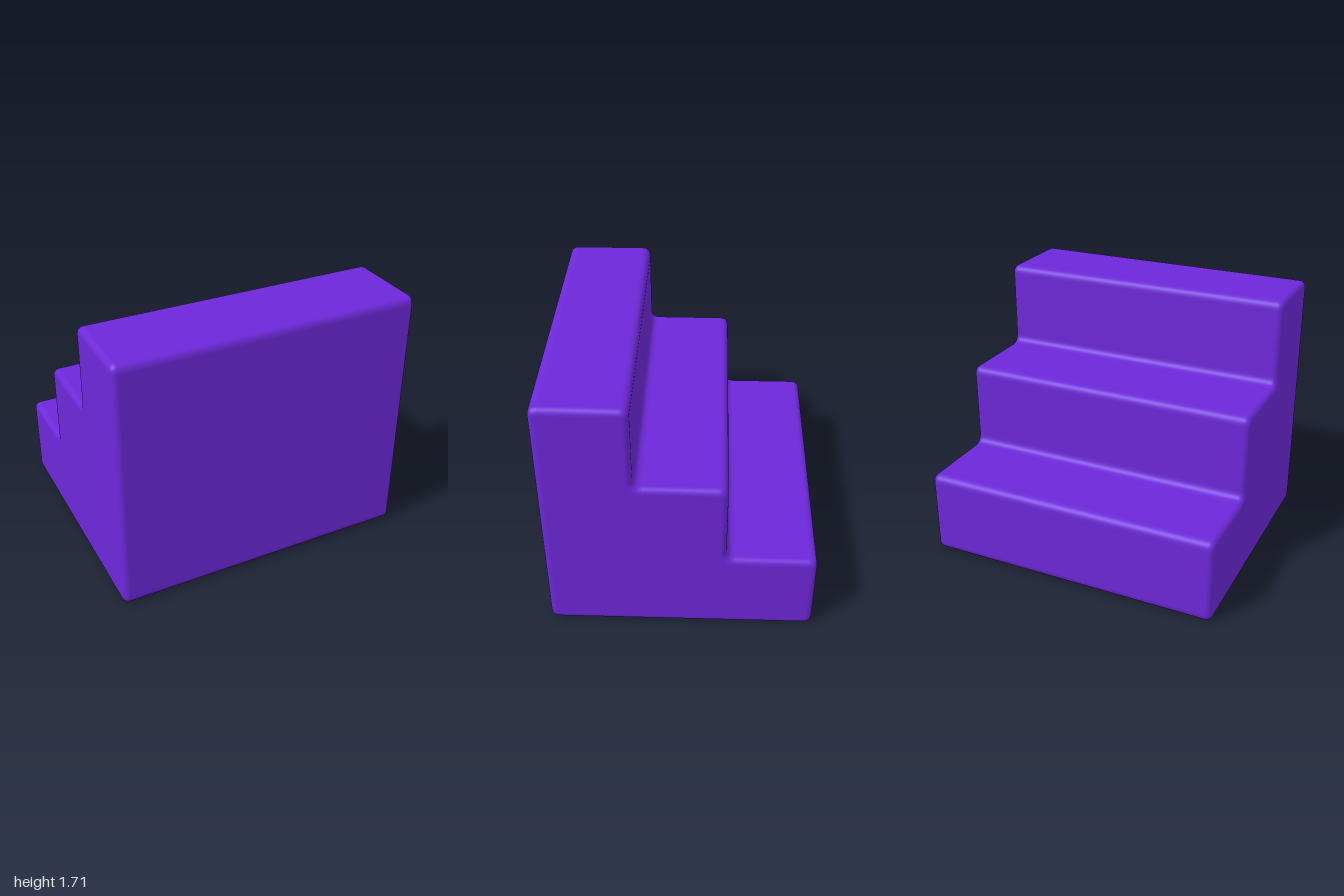
import * as THREE from 'three';
import { mergeVertices } from 'three/addons/utils/BufferGeometryUtils.js';

// Closed outline whose corners, convex or concave, are rounded by r
function roundedOutline(points, r) {
  const shape = new THREE.Shape();
  const n = points.length;
  points.forEach((p, i) => {
    const prev = points[(i + n - 1) % n], next = points[(i + 1) % n];
    const a = p.clone().add(prev.clone().sub(p).setLength(r));
    const b = p.clone().add(next.clone().sub(p).setLength(r));
    if (i === 0) shape.moveTo(a.x, a.y);
    else shape.lineTo(a.x, a.y);
    shape.quadraticCurveTo(p.x, p.y, b.x, b.y);
  });
  shape.closePath();
  return shape;
}

export function createModel() {
  const group = new THREE.Group();
  group.name = 'stairBlock';

  const steps = 3, width = 2, size = 1.712 / steps, bevel = 0.04;
  const half = steps * size / 2;

  // Side profile in (z, y): flat base, tall front, steps going down to the back
  const points = [new THREE.Vector2(-half, 0), new THREE.Vector2(half, 0)];
  for (let i = steps; i > 0; i--) {
    const z = -half + i * size;
    points.push(new THREE.Vector2(z, i * size), new THREE.Vector2(z - size, i * size));
  }

  const depth = width - 2 * bevel;
  let geometry = new THREE.ExtrudeGeometry(roundedOutline(points, 0.06), {
    depth, curveSegments: 8, bevelEnabled: true, bevelSegments: 6,
    bevelSize: bevel, bevelThickness: bevel, bevelOffset: -bevel,
  });
  geometry.translate(0, 0, -depth / 2);
  geometry.rotateY(-Math.PI / 2);

  // Weld for soft, area-weighted normals across the rounded edges
  geometry.deleteAttribute('uv');
  geometry.deleteAttribute('normal');
  geometry = mergeVertices(geometry, 1e-4);
  geometry.computeVertexNormals();

  const stairs = new THREE.Mesh(geometry, new THREE.MeshStandardMaterial({ color: 0x6d28d9 }));
  stairs.name = 'stairs';
  group.add(stairs);
  return group;
}
